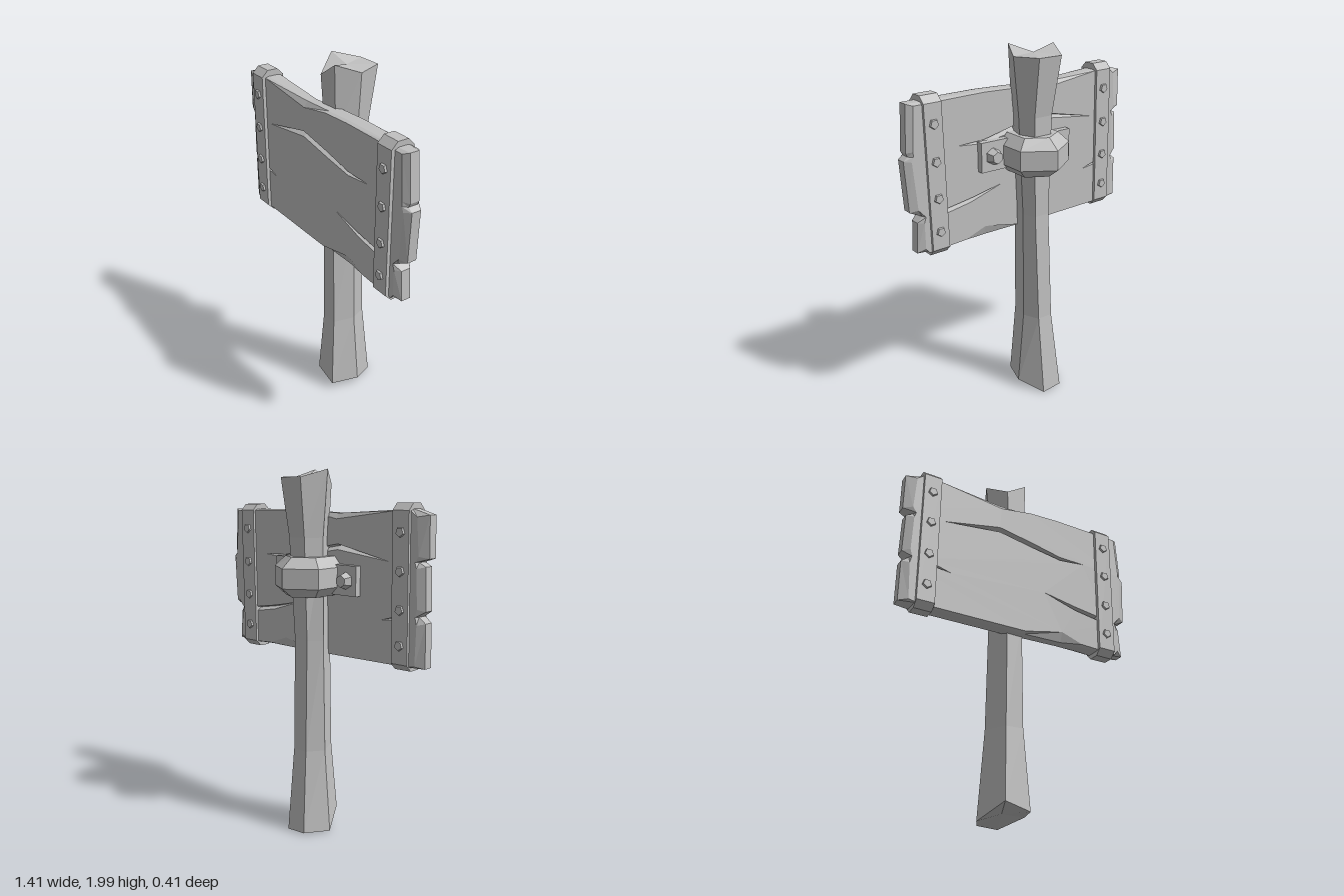
import * as THREE from 'three';

const weatheredGrey = new THREE.MeshStandardMaterial({ color: 0xc0c0c0 });
weatheredGrey.name = 'weatheredGrey';

// Faceted geometry from a list of triangles, each three [x, y, z] corners
function facets(tris) {
  const g = new THREE.BufferGeometry();
  g.setAttribute('position', new THREE.Float32BufferAttribute(tris.flat(2), 3));
  g.computeVertexNormals();
  return g;
}

function flat(geometry) {
  const g = geometry.index ? geometry.toNonIndexed() : geometry;
  g.computeVertexNormals();
  return g;
}

function add(parent, name, geometry) {
  const m = new THREE.Mesh(geometry, weatheredGrey);
  m.name = name;
  parent.add(m);
  return m;
}

// Side walls joining rings of equal length
function walls(rings) {
  const tris = [];
  for (let r = 0; r < rings.length - 1; r++) {
    const a = rings[r], b = rings[r + 1], n = a.length;
    for (let i = 0; i < n; i++) {
      const j = (i + 1) % n;
      tris.push([a[i], a[j], b[j]], [a[i], b[j], b[i]]);
    }
  }
  return tris;
}

// Fan closing a ring towards a centre point
function fan(ring, centre, flip) {
  return ring.map((p, i) => {
    const q = ring[(i + 1) % ring.length];
    return flip ? [centre, q, p] : [centre, p, q];
  });
}

// Six-sided post flaring at both broken ends
function postGeometry() {
  const ring = (l, r, fl, fr, bl, br, zf, zb, ys) => [
    [r, ys[0], 0], [br, ys[1], zb], [bl, ys[2], zb],
    [l, ys[3], 0], [fl, ys[4], zf], [fr, ys[5], zf]];
  const level = y => Array(6).fill(y);
  const rings = [
    ring(-.17, .10, -.09, .05, -.10, .02, .15, -.14, [.055, .01, .02, .01, .09, .05]),
    ring(-.13, .06, -.07, .03, -.07, .02, .12, -.09, level(.48)),
    ring(-.115, .06, -.06, .03, -.06, .03, .115, -.07, level(1.1)),
    ring(-.11, .085, -.05, .05, -.06, .05, .11, -.09, level(1.65)),
    ring(-.14, .115, -.06, .06, -.08, .06, .12, -.14, [1.955, 1.96, 1.96, 2, 1.925, 2])];
  return facets([...walls(rings),
    ...fan(rings[0], [-.03, .06, 0], true),
    ...fan(rings[4], [-.01, 1.965, 0], false)]);
}

// Board outline, counterclockwise: x, y and the inward shift of its faces
const outline = [
  [-.705, 1.02, .05, .01], [-.6, 1.02, 0, 0], [-.1, 1.005, 0, .005], [.02, 1, 0, .008],
  [.25, 1, 0, .055], [.38, 1, 0, .008], [.6, .995, 0, 0], [.66, 1, -.04, .02],
  [.65, 1.165, -.03, 0], [.62, 1.195, -.01, 0], [.69, 1.23, -.04, .01],
  [.705, 1.5, -.035, -.005], [.68, 1.52, -.02, 0], [.69, 1.54, -.03, .005],
  [.675, 1.78, -.03, -.01], [.24, 1.785, 0, -.005], [.06, 1.78, 0, -.005],
  [-.13, 1.775, 0, -.03], [-.5, 1.8, 0, -.005], [-.6, 1.81, 0, -.005],
  [-.705, 1.78, .06, -.01], [-.71, 1.57, .05, .01], [-.65, 1.55, .01, 0],
  [-.69, 1.53, .04, -.01], [-.7, 1.31, .04, .01], [-.66, 1.28, .01, 0],
  [-.7, 1.25, .04, -.01]];

// Cracks from tip to tip: x, upper y, lower y
const cracks = [
  [[-.48, 1.545, 1.545], [-.14, 1.615, 1.585], [.07, 1.575, 1.545], [.25, 1.535, 1.515], [.41, 1.53, 1.53]],
  [[.14, 1.275, 1.275], [.34, 1.235, 1.213], [.5, 1.21, 1.185], [.56, 1.2, 1.2]],
  [[-.6, 1.28, 1.28], [-.55, 1.275, 1.255], [-.43, 1.24, 1.24]]];

function boardGeometry() {
  const half = .048, rim = .026, depth = .032;
  const face = outline.map(([x, y, dx, dy]) => [x + dx, y + dy, half]);
  const edge = outline.map(([x, y]) => [x, y, rim]);
  const holes = cracks.map(c => [
    ...c.map(([x, u]) => [x, u, half]),
    ...c.slice(1, -1).reverse().map(([x, , l]) => [x, l, half])]);

  // Face around the cracks
  const toV2 = pts => pts.map(p => new THREE.Vector2(p[0], p[1]));
  const all = [...face, ...holes.flat()];
  const front = THREE.ShapeUtils.triangulateShape(toV2(face), holes.map(toV2))
    .map(t => t.map(i => all[i]));
  front.push(...walls([edge, face]));

  // Sloping crack walls
  for (const c of cracks) {
    const up = c.map(([x, u]) => [x, u, half]);
    const low = c.map(([x, , l]) => [x, l, half]);
    const floor = c.map(([x, u, l]) => [x, u + (l - u) * .3, u === l ? half : half - depth]);
    for (const [a, b] of [[up, floor], [floor, low]])
      for (let i = 0; i < c.length - 1; i++)
        front.push([a[i], b[i], b[i + 1]], [a[i], b[i + 1], a[i + 1]]);
  }
  const mirror = ([x, y, z]) => [x, y, -z];
  const back = front.map(([a, b, c]) => [c, b, a].map(mirror));
  return facets([...front, ...back, ...walls([edge.map(mirror), edge])]);
}

// Strap with chamfered ends, wrapped around the board
function strapGeometry() {
  const w = .065, h = .42, c = .035;
  const profile = new THREE.Shape([[-w, -h + c], [-w + c, -h], [w - c, -h], [w, -h + c],
    [w, h - c], [w - c, h], [-w + c, h], [-w, h - c]].map(p => new THREE.Vector2(...p)));
  const g = new THREE.ExtrudeGeometry(profile, { depth: .1, bevelEnabled: false });
  return flat(g.translate(0, 0, -.05).rotateY(Math.PI / 2));
}

// Five-sided clamp behind the post with chamfered top and bottom
function clampGeometry() {
  const ring = (y, s) => [[.15 - s, y, .085], [.15 - s, y, -.1 + s * .6], [-.01, y, -.205 + s * 1.4],
    [-.17 + s, y, -.1 + s * .6], [-.17 + s, y, .085]];
  const rings = [ring(1.34, .05), ring(1.39, 0), ring(1.495, 0), ring(1.55, .05)];
  return facets([...walls(rings),
    ...fan(rings[0], [-.01, 1.34, 0], true),
    ...fan(rings[3], [-.01, 1.55, 0], false)]);
}

export function createModel() {
  const model = new THREE.Group();
  model.name = 'woodenSign';
  add(model, 'post', postGeometry());
  add(model, 'board', boardGeometry()).position.z = .13;

  // Straps with studs on both faces
  const stud = flat(new THREE.CylinderGeometry(.024, .029, .016, 5).rotateX(Math.PI / 2));
  for (const [name, x, y] of [['rightStrap', -.564, 1.415], ['leftStrap', .542, 1.39]]) {
    const group = new THREE.Group();
    group.name = name;
    group.position.set(x, y, .132);
    group.rotation.z = -.016;
    add(group, 'strap', strapGeometry());
    for (const dy of [.28, .087, -.107, -.288]) {
      for (const side of [1, -1]) {
        const m = add(group, 'stud', stud);
        m.position.set(0, dy, side * .068);
        m.rotation.y = side > 0 ? 0 : Math.PI;
      }
    }
    model.add(group);
  }

  // Clamp, its mounting plates and bolts
  add(model, 'clamp', clampGeometry());
  for (const [side, x, y, boltX] of [['right', -.215, 1.43, -.23], ['left', .205, 1.45, .217]]) {
    add(model, side + 'Plate', flat(new THREE.BoxGeometry(.165, .16, .04))).position.set(x, y, .066);
    const bolt = flat(new THREE.CylinderGeometry(.046, .032, .046, 6).rotateX(Math.PI / 2));
    add(model, side + 'Bolt', bolt).position.set(boltX, y, .024);
  }
  return model;
}
